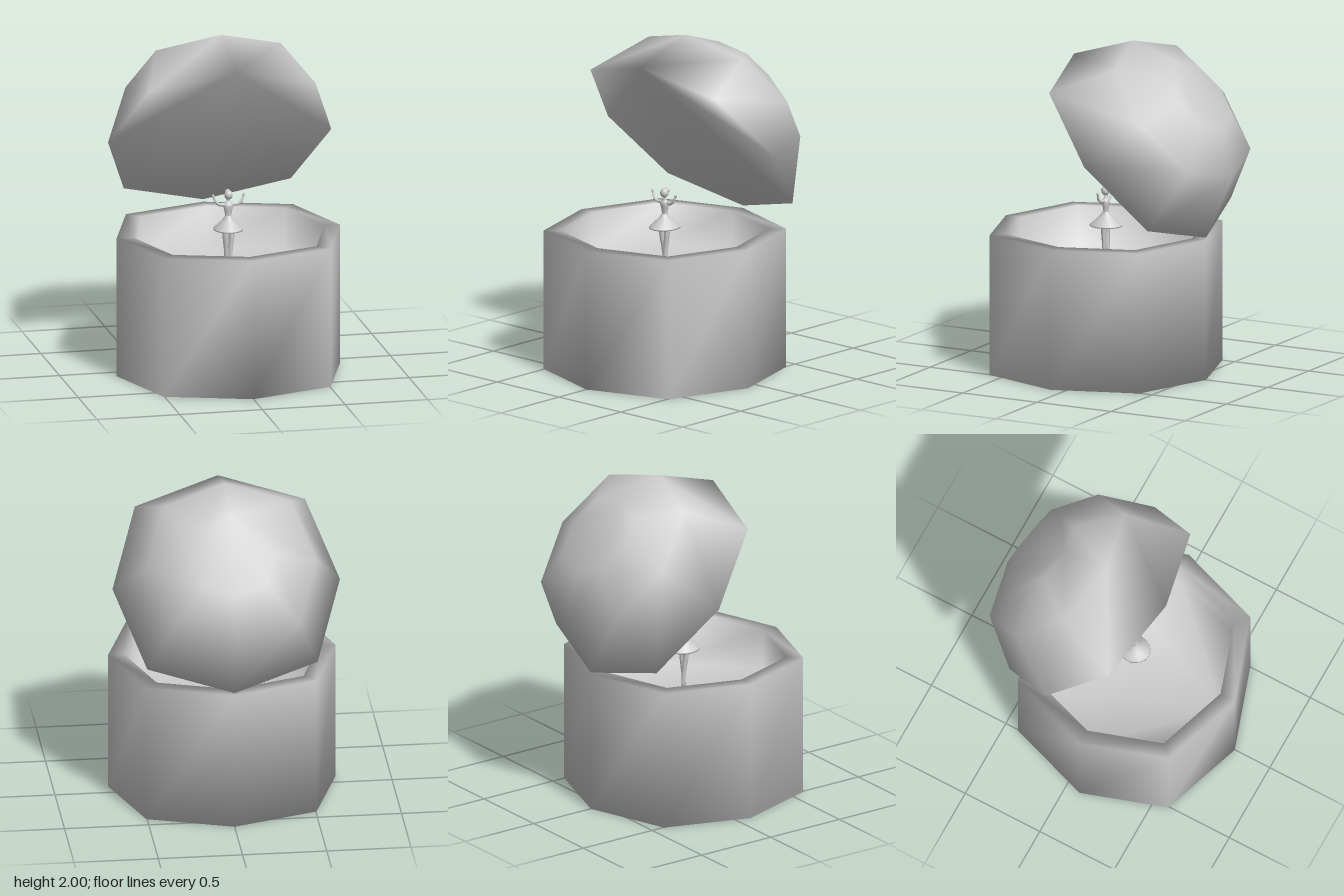
import * as THREE from 'three';

const porcelain = new THREE.MeshStandardMaterial({ color: 0xcccccc });
porcelain.name = 'porcelainGrey';

function mesh(name, geometry, parent) {
  const m = new THREE.Mesh(geometry, porcelain);
  m.name = name;
  parent.add(m);
  return m;
}

// Closed eight-sided shell through rings [straight radius, corner offset, height],
// with shared vertices so that the shading runs smoothly over every edge
function octagonShell(rings) {
  const positions = [], index = [], n = 8;
  for (const [r, d, y] of rings) {
    for (let i = 0; i < n; i++) {
      const a = (i * Math.PI) / 4;
      const radius = i % 2 ? d * Math.SQRT2 : r;
      positions.push(Math.sin(a) * radius, y, Math.cos(a) * radius);
    }
  }
  for (let k = 0; k < rings.length - 1; k++) {
    for (let i = 0; i < n; i++) {
      const a = k * n + i, b = k * n + ((i + 1) % n);
      index.push(a, b, b + n, a, b + n, a + n);
    }
  }
  const last = (rings.length - 1) * n;
  for (let i = 1; i < n - 1; i++) {
    index.push(0, i + 1, i, last, last + i, last + i + 1);
  }
  const g = new THREE.BufferGeometry();
  g.setAttribute('position', new THREE.Float32BufferAttribute(positions, 3));
  g.setIndex(index);
  g.computeVertexNormals();
  return g;
}

// Turned solid from [radius, height] pairs, bottom to top
const turned = (profile) =>
  new THREE.LatheGeometry(profile.map(([r, y]) => new THREE.Vector2(r, y)), 16);

// Limb along points [x, y, z], tapering from r0 to r1
function limb(points, r0, r1) {
  const curve = new THREE.CatmullRomCurve3(points.map((p) => new THREE.Vector3(...p)));
  const segs = 14, sides = 8;
  const g = new THREE.TubeGeometry(curve, segs, 1, sides);
  const pos = g.attributes.position, v = new THREE.Vector3();
  for (let i = 0; i < pos.count; i++) {
    const t = Math.floor(i / (sides + 1)) / segs;
    const c = curve.getPointAt(t);
    const r = THREE.MathUtils.lerp(r0, r1, t);
    v.fromBufferAttribute(pos, i).sub(c).multiplyScalar(r).add(c);
    pos.setXYZ(i, v.x, v.y, v.z);
  }
  g.computeVertexNormals();
  return g;
}

function buildDancer() {
  const dancer = new THREE.Group();
  dancer.name = 'dancer';

  // Flared skirt with a closed underside
  mesh('skirt', turned([[0, 0.872], [0.06, 0.866], [0.1, 0.858], [0.098, 0.866],
    [0.07, 0.89], [0.045, 0.912], [0.028, 0.93], [0.02, 0.945]]), dancer).scale.x = 0.88;

  // Bodice and neck
  mesh('torso', turned([[0.02, 0.935], [0.019, 0.95], [0.024, 0.975], [0.031, 1.0],
    [0.029, 1.015], [0.013, 1.026], [0.01, 1.035], [0.01, 1.055]]), dancer).scale.z = 0.75;

  // Head with a bun at the back
  const head = mesh('head', new THREE.SphereGeometry(0.025, 16, 12), dancer);
  head.position.set(0, 1.07, 0.004);
  head.scale.y = 1.15;
  mesh('hairBun', new THREE.SphereGeometry(0.016, 12, 8), dancer).position.set(0, 1.083, -0.02);

  for (const s of [-1, 1]) {
    const side = s > 0 ? 'left' : 'right';
    // Raised arms and hands
    mesh(side + 'Arm', limb([[s * 0.024, 1.012, 0], [s * 0.05, 1.012, 0.006],
      [s * 0.072, 1.025, 0.008], [s * 0.086, 1.05, 0.006], [s * 0.09, 1.064, 0.004]],
      0.011, 0.006), dancer);
    const hand = mesh(side + 'Hand', new THREE.SphereGeometry(0.008, 8, 6), dancer);
    hand.position.set(s * 0.093, 1.067, 0.004);
    hand.scale.y = 1.4;
    // Legs standing on the toes
    mesh(side + 'Leg', limb([[s * 0.02, 0.885, 0], [s * 0.019, 0.82, 0.003],
      [s * 0.013, 0.74, 0.004 * s], [s * 0.011, 0.67, 0.01 * s], [s * 0.009, 0.635, 0.012 * s]],
      0.02, 0.009), dancer);
    const foot = mesh(side + 'Foot', new THREE.ConeGeometry(0.012, 0.04, 8), dancer);
    foot.rotation.x = Math.PI;
    foot.position.set(s * 0.009, 0.622, 0.013 * s);
  }
  return dancer;
}

export function createModel() {
  const model = new THREE.Group();
  model.name = 'musicBox';

  // Box: outer wall, rim, inner wall and floor
  mesh('box', octagonShell([
    [0.675, 0.505, 0],
    [0.675, 0.505, 0.845],
    [0.58, 0.435, 0.845],
    [0.58, 0.435, 0.6],
  ]), model).position.z = 0.09;

  // Domed lid, tilted open at the back
  const lid = mesh('lid', octagonShell([
    [0.675, 0.505, 0],
    [0.505, 0.378, 0.38],
    [0.246, 0.184, 0.529],
  ]), model);
  lid.position.set(0, 1.368, -0.14);
  lid.rotation.x = -0.852;

  // Dancer in the middle of the floor
  const dancer = buildDancer();
  dancer.position.z = 0.09;
  model.add(dancer);
  return model;
}
